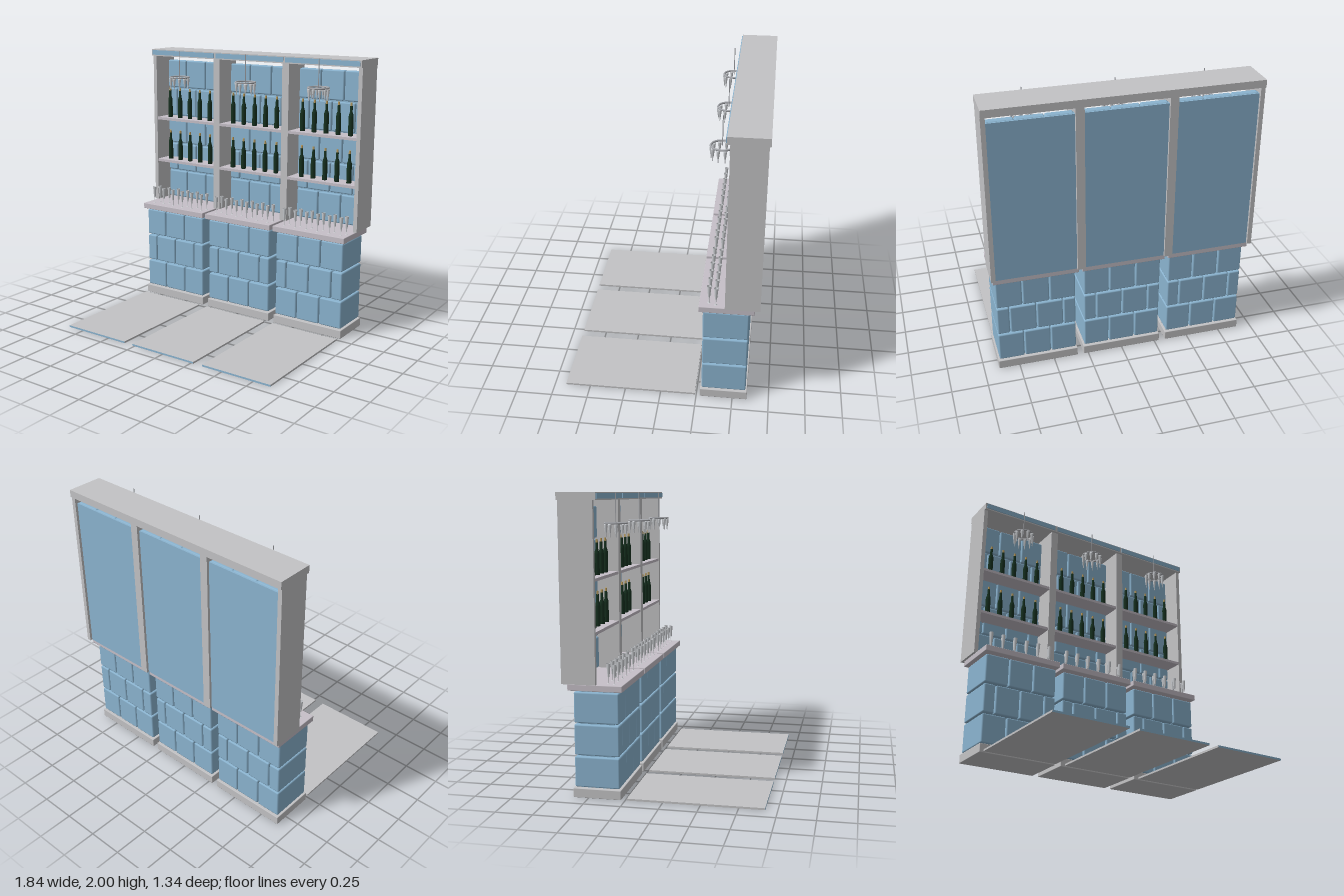
import * as THREE from 'three';
import { RoundedBoxGeometry } from 'three/addons/geometries/RoundedBoxGeometry.js';

const material = (name, color, side = THREE.FrontSide) => {
  const m = new THREE.MeshStandardMaterial({ color, side });
  m.name = name;
  return m;
};

export function createModel() {
  const stone = material('grey stone', 0xc3c3c5);
  const counter = material('pale mauve counter', 0xc6c0c8);
  const blue = material('blue brick', 0x8bb4d0);
  const green = material('dark green glass', 0x16301f);
  const gold = material('gold foil', 0xb89b5e);
  const glass = material('clear glass', 0xcfd2d6, THREE.DoubleSide);
  const metal = material('rack metal', 0xa9abb0);

  const model = new THREE.Group();
  model.name = 'barCabinet';

  const add = (parent, name, geometry, mat, x = 0, y = 0, z = 0) => {
    const mesh = new THREE.Mesh(geometry, mat);
    mesh.name = name;
    mesh.position.set(x, y, z);
    parent.add(mesh);
    return mesh;
  };

  // Box given by its limits on each axis
  const block = (parent, name, mat, [x0, x1], [y0, y1], [z0, z1], bevel = 0) => {
    const s = [x1 - x0, y1 - y0, z1 - z0];
    const geometry = bevel ? new RoundedBoxGeometry(...s, 1, bevel) : new THREE.BoxGeometry(...s);
    return add(parent, name, geometry, mat, (x0 + x1) / 2, (y0 + y1) / 2, (z0 + z1) / 2);
  };

  // Brick courses alternate between three whole bricks and two whole with two halves
  const joints = [
    [-0.278, -0.0945, 0.0945, 0.278],
    [-0.278, -0.188, 0, 0.188, 0.278],
  ];
  const bricks = (parent, name, y0, courses, pitch, z) => {
    const wall = new THREE.Group();
    wall.name = name;
    parent.add(wall);
    for (let r = 0; r < courses; r++) {
      const edges = joints[r % 2];
      for (let i = 0; i < edges.length - 1; i++) {
        block(wall, 'brick', blue, [edges[i] + 0.003, edges[i + 1] - 0.003],
          [y0 + r * pitch, y0 + (r + 1) * pitch - 0.01], z, 0.01);
      }
    }
  };

  const lathe = (points, sides) =>
    new THREE.LatheGeometry(points.map(([r, y]) => new THREE.Vector2(r, y)), sides);

  const bottleShape = lathe([[0, 0], [0.018, 0], [0.018, 0.004], [0.018, 0.135], [0.016, 0.15],
    [0.010, 0.168], [0.009, 0.215], [0, 0.215]], 12);
  const capShape = new THREE.CylinderGeometry(0.007, 0.0085, 0.026, 10);
  const fluteShape = lathe([[0.011, 0], [0.002, 0.003], [0.002, 0.04], [0.007, 0.045],
    [0.0145, 0.13], [0.0125, 0.13], [0.005, 0.05], [0, 0.05]], 10);
  const hangingShape = lathe([[0, -0.085], [0.003, -0.085], [0.003, -0.062], [0.006, -0.055],
    [0.012, -0.008], [0.012, 0], [0, 0]], 8);

  const bottle = (parent, x, y, z) => {
    const g = new THREE.Group();
    g.name = 'bottle';
    g.position.set(x, y, z);
    add(g, 'bottleBody', bottleShape, green);
    add(g, 'bottleCap', capShape, gold, 0, 0.224);
    parent.add(g);
  };

  const buildBay = (x) => {
    const bay = new THREE.Group();
    bay.name = 'bay';
    bay.position.x = x;
    model.add(bay);

    // Floor mat with a coloured front edge
    block(bay, 'floorMat', [stone, stone, stone, stone, blue, stone],
      [-0.27, 0.27], [0, 0.013], [-0.24, 0.67]);

    // Brick counter
    block(bay, 'plinth', stone, [-0.284, 0.284], [0.003, 0.066], [-0.6, -0.275], 0.004);
    block(bay, 'counterCore', blue, [-0.25, 0.25], [0.06, 0.73], [-0.555, -0.325]);
    bricks(bay, 'counterBricks', 0.073, 3, 0.217, [-0.59, -0.285]);
    block(bay, 'counterTop', counter, [-0.294, 0.294], [0.725, 0.768], [-0.625, -0.257], 0.004);

    // Brick back wall with a plain rear panel
    bricks(bay, 'backWallBricks', 0.775, 5, 0.228, [-0.632, -0.58]);
    block(bay, 'backPanel', blue, [-0.28, 0.28], [0.77, 1.9], [-0.642, -0.6]);

    // Shelves with bottles
    for (const y of [1.11, 1.455]) {
      block(bay, 'shelf', counter, [-0.28, 0.28], [y - 0.02, y], [-0.59, -0.433]);
      for (let i = -2; i <= 2; i++) bottle(bay, i * 0.098, y, -0.5);
    }

    // Two staggered rows of flutes on the counter
    for (let i = 0; i < 6; i++) {
      add(bay, 'flute', fluteShape, glass, -0.231 + i * 0.0935, 0.768, -0.322);
      add(bay, 'flute', fluteShape, glass, -0.211 + i * 0.0935, 0.768, -0.369);
    }

    // Round hanging rack with glasses
    const rack = new THREE.Group();
    rack.name = 'hangingRack';
    rack.position.set(0, 1.797, -0.367);
    bay.add(rack);
    add(rack, 'rackRing', new THREE.TorusGeometry(0.073, 0.007, 6, 28).rotateX(Math.PI / 2), metal);
    add(rack, 'rackRod', new THREE.CylinderGeometry(0.003, 0.003, 0.203, 6), metal, 0, 0.1015);
    for (let i = 0; i < 10; i++) {
      const a = (i / 10) * Math.PI * 2;
      add(rack, 'hangingGlass', hangingShape, glass, Math.sin(a) * 0.07, -0.005, Math.cos(a) * 0.07);
    }

    // Fascia strip on the top beam
    block(bay, 'fasciaStrip', blue, [-0.297, 0.297], [1.957, 1.993], [-0.411, -0.404]);
  };
  [-0.613, 0, 0.613].forEach(buildBay);

  // Cabinet frame
  for (const [x0, x1] of [[-0.92, -0.89], [-0.335, -0.278], [0.278, 0.335], [0.89, 0.92]]) {
    block(model, 'upright', stone, [x0, x1], [0.77, 1.95], [-0.66, -0.43]);
  }
  block(model, 'topBeam', stone, [-0.92, 0.92], [1.948, 2], [-0.67, -0.41]);

  return model;
}
